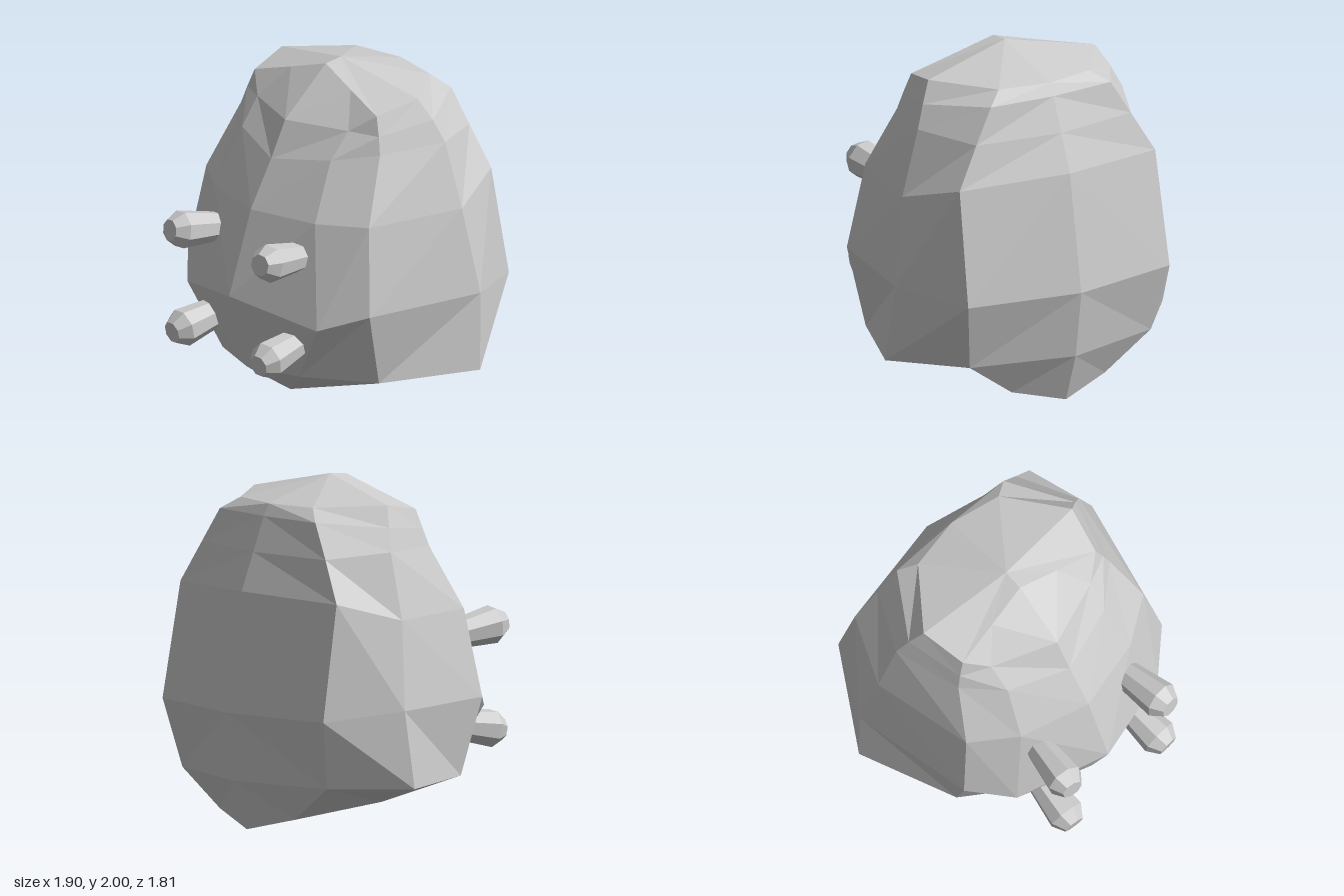
import * as THREE from 'three';

const material = new THREE.MeshStandardMaterial({ color: 0xcccccc, flatShading: true });

// Half cross-sections from crown to underside, running from front centre round the +x side to back centre
const rings = [
  [[0, 1.99, 0.02], [0.25, 1.91, 0.06], [0.51, 1.83, 0.1], [0.57, 1.88, -0.17], [0.31, 1.87, -0.51], [0, 1.87, -0.57]],
  [[0, 1.73, 0.34], [0.38, 1.73, 0.2], [0.55, 1.72, 0.12], [0.64, 1.76, -0.22], [0.41, 1.8, -0.58], [0, 1.8, -0.61]],
  [[0, 1.52, 0.45], [0.37, 1.58, 0.33], [0.58, 1.62, 0.14], [0.7, 1.63, -0.26], [0.53, 1.6, -0.61], [0, 1.6, -0.69]],
  [[0, 1.25, 0.61], [0.42, 1.25, 0.5], [0.68, 1.25, 0.32], [0.82, 1.25, -0.28], [0.67, 1.36, -0.65], [0, 1.38, -0.78]],
  [[0, 0.76, 0.78], [0.54, 0.65, 0.6], [0.76, 0.74, 0.39], [0.91, 0.74, -0.34], [0.69, 0.69, -0.77], [0, 0.69, -0.9]],
  [[0, 0.29, 0.64], [0.32, 0.29, 0.53], [0.71, 0.29, 0.27], [0.95, 0.29, -0.3], [0.62, 0.29, -0.68], [0, 0.29, -0.84]],
];
const crown = [0, 2, -0.1];
const keel = [0, 0.06, 0.3];
rings.push([keel, keel, keel, keel, [0.32, 0.08, -0.66], [0, 0, -0.74]]);

function buildBody() {
  const positions = [];
  const mirror = ([x, y, z]) => [-x, y, z];
  // Adds a triangle and its mirror image, skipping collapsed ones
  const tri = (a, b, c) => {
    if (a === b || b === c || a === c) return;
    positions.push(...a, ...b, ...c, ...mirror(a), ...mirror(c), ...mirror(b));
  };
  for (let j = 0; j < 5; j++) {
    tri(crown, rings[0][j], rings[0][j + 1]);
    for (let i = 0; i < rings.length - 1; i++) {
      const a = rings[i][j], b = rings[i][j + 1];
      const c = rings[i + 1][j], d = rings[i + 1][j + 1];
      tri(a, c, b);
      tri(b, c, d);
    }
  }
  // Underside between the keel and the back edge
  tri(keel, rings[6][5], rings[6][4]);
  const geometry = new THREE.BufferGeometry();
  geometry.setAttribute('position', new THREE.Float32BufferAttribute(positions, 3));
  geometry.computeVertexNormals();
  const body = new THREE.Mesh(geometry, material);
  body.name = 'body';
  return body;
}

// Eight-sided stud, widening outwards and ending in a bevelled tip
const studProfile = [[0, 0], [0.085, 0], [0.112, 0.26], [0.065, 0.335], [0, 0.335]]
  .map(([r, y]) => new THREE.Vector2(r, y));
const studGeometry = new THREE.LatheGeometry(studProfile, 8).rotateY(Math.PI / 8);

function buildStud(name, base, tip) {
  const stud = new THREE.Mesh(studGeometry, material);
  const start = new THREE.Vector3(...base);
  const direction = new THREE.Vector3(...tip).sub(start).normalize();
  stud.position.copy(start);
  stud.quaternion.setFromUnitVectors(new THREE.Vector3(0, 1, 0), direction);
  stud.name = name;
  return stud;
}

export function createModel() {
  const model = new THREE.Group();
  model.name = 'studdedBlock';
  model.add(buildBody());
  for (const [side, s] of [['left', 1], ['right', -1]]) {
    model.add(buildStud(side + 'UpperStud', [s * 0.335, 1.04, 0.565], [s * 0.378, 1.09, 0.9]));
    model.add(buildStud(side + 'LowerStud', [s * 0.335, 0.515, 0.56], [s * 0.36, 0.465, 0.88]));
  }
  return model;
}
